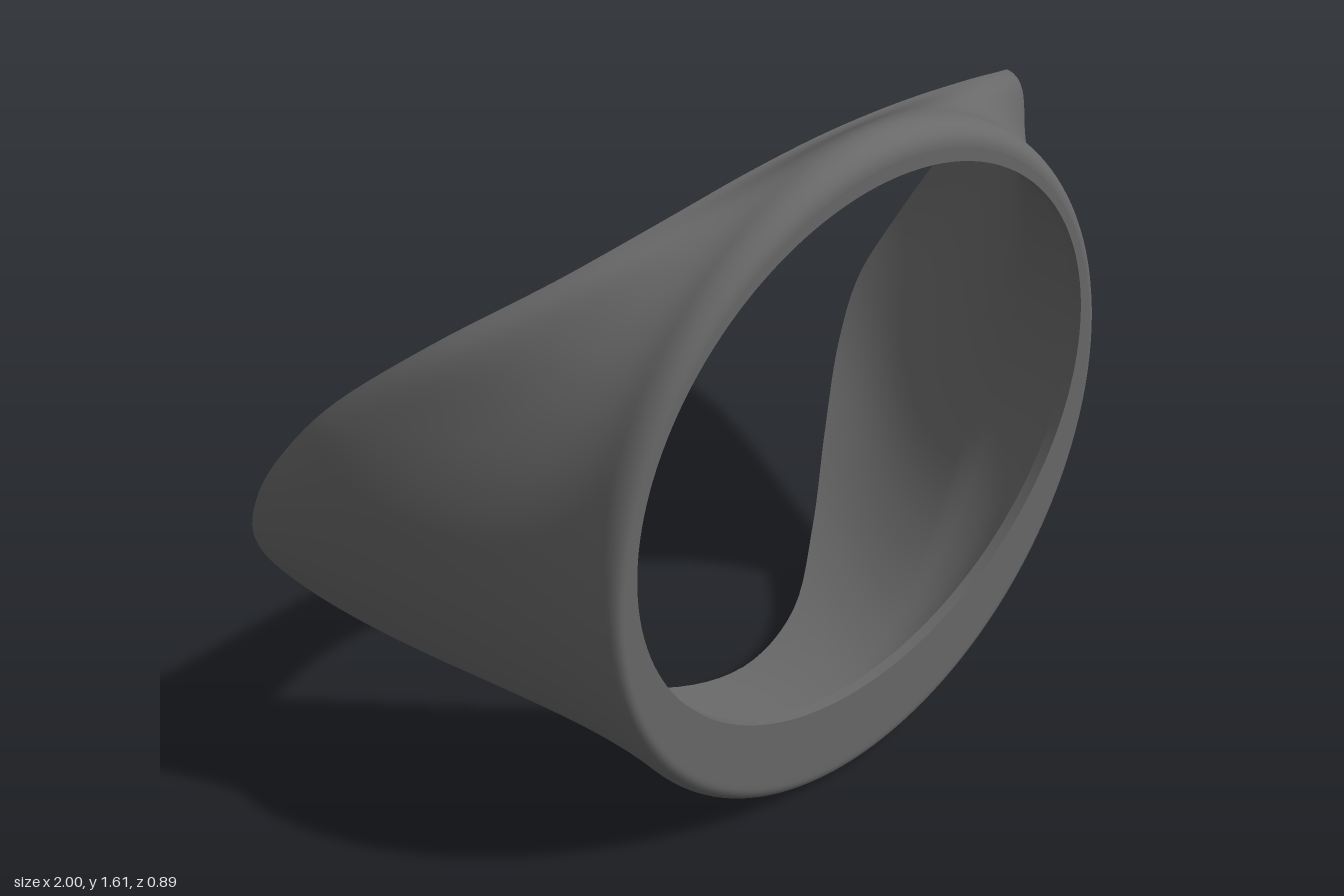
import * as THREE from 'three';

const AROUND = 160;
const V = (x, y, z) => new THREE.Vector3(x, y, z);

// Swept back edge of the hood, top centre to bottom centre on the +x side
const half = [
  [0, 1.56, 0.275], [0.2, 1.55, 0.272], [0.4, 1.515, 0.252], [0.6, 1.445, 0.19],
  [0.8, 1.32, 0.05], [0.93, 1.15, -0.12], [0.985, 1.0, -0.23], [1, 0.87, -0.31],
  [0.972, 0.69, -0.40], [0.88, 0.51, -0.448], [0.77, 0.38, -0.405], [0.6, 0.25, -0.28],
  [0.4, 0.13, -0.12], [0.2, 0.057, 0.015], [0, 0.03, 0.057],
];
const mirrored = half.slice(1, -1).reverse().map(([x, y, z]) => [-x, y, z]);
const edge = new THREE.CatmullRomCurve3([...half, ...mirrored].map((p) => V(...p)), true);

// Ellipse point at angle a, measured clockwise from the top
const ring = (a, cy, rx, ry, z) => V(rx * Math.sin(a), cy + ry * Math.cos(a), z);

// S-shaped wall from the front ring back to the swept edge
function wall(front, back) {
  const depth = front.z - back.z;
  return new THREE.CubicBezierCurve3(
    front,
    V(front.x, front.y, front.z - 0.4 * depth),
    V(back.x, back.y, back.z + 0.33 * depth),
    back,
  );
}

// Cross-section strips at one station around the hood
function section(i) {
  const e = edge.getPoint(i / AROUND);
  const a = Math.atan2(e.x, (e.y - 0.81) / 0.78);
  const outerWall = wall(ring(a, 0.805, 0.71, 0.805, 0.39), e);
  const inset = V(e.x * 0.985, 0.81 + (e.y - 0.81) * 0.982, e.z);
  const innerWall = wall(ring(a, 0.805, 0.677, 0.768, 0.37), inset);

  // Outer wall, rounded lip and flat front face
  const outer = outerWall.getPoints(28).reverse();
  for (let k = 1; k <= 8; k++) {
    const f = (k / 8) * Math.PI / 2;
    const c = 1 - Math.cos(f);
    outer.push(ring(a, 0.805, 0.71 - 0.03 * c, 0.805 - 0.05 * c, 0.39 + 0.055 * Math.sin(f)));
  }
  const holeFront = ring(a, 0.8825, 0.642, 0.642, 0.445);
  const faceStart = outer[outer.length - 1];
  for (const f of [0.08, 0.5, 1]) outer.push(faceStart.clone().lerp(holeFront, f));

  // Inner wall with a soft fillet behind the front face
  const holeBack = holeFront.clone().setZ(0.42);
  const start = innerWall.getPoint(0.22);
  const fillet = new THREE.QuadraticBezierCurve3(holeBack, V(start.x, start.y, 0.415), start);
  const inner = fillet.getPoints(12);
  for (let k = 1; k <= 24; k++) inner.push(innerWall.getPoint(0.22 + 0.78 * k / 24));

  return { outer, hole: [holeFront, holeBack], inner, rim: [inset, e] };
}

// Closed surface through the same strip of every section
function loft(rows) {
  const n = rows[0].length;
  const index = [];
  for (let i = 0; i < AROUND; i++) {
    const p = i * n, q = ((i + 1) % AROUND) * n;
    for (let j = 0; j < n - 1; j++) {
      index.push(p + j, p + j + 1, q + j, q + j, p + j + 1, q + j + 1);
    }
  }
  const geometry = new THREE.BufferGeometry().setFromPoints(rows.flat());
  geometry.setIndex(index);
  geometry.computeVertexNormals();
  return geometry;
}

export function createModel() {
  const group = new THREE.Group();
  group.name = 'flaredHood';
  const grey = new THREE.MeshStandardMaterial({ color: 0x696969 });
  grey.name = 'dark grey';

  const sections = Array.from({ length: AROUND }, (_, i) => section(i));
  const parts = { outer: 'outerShell', hole: 'openingEdge', inner: 'innerShell', rim: 'backEdge' };
  for (const [key, name] of Object.entries(parts)) {
    const mesh = new THREE.Mesh(loft(sections.map((s) => s[key])), grey);
    mesh.name = name;
    group.add(mesh);
  }
  return group;
}
